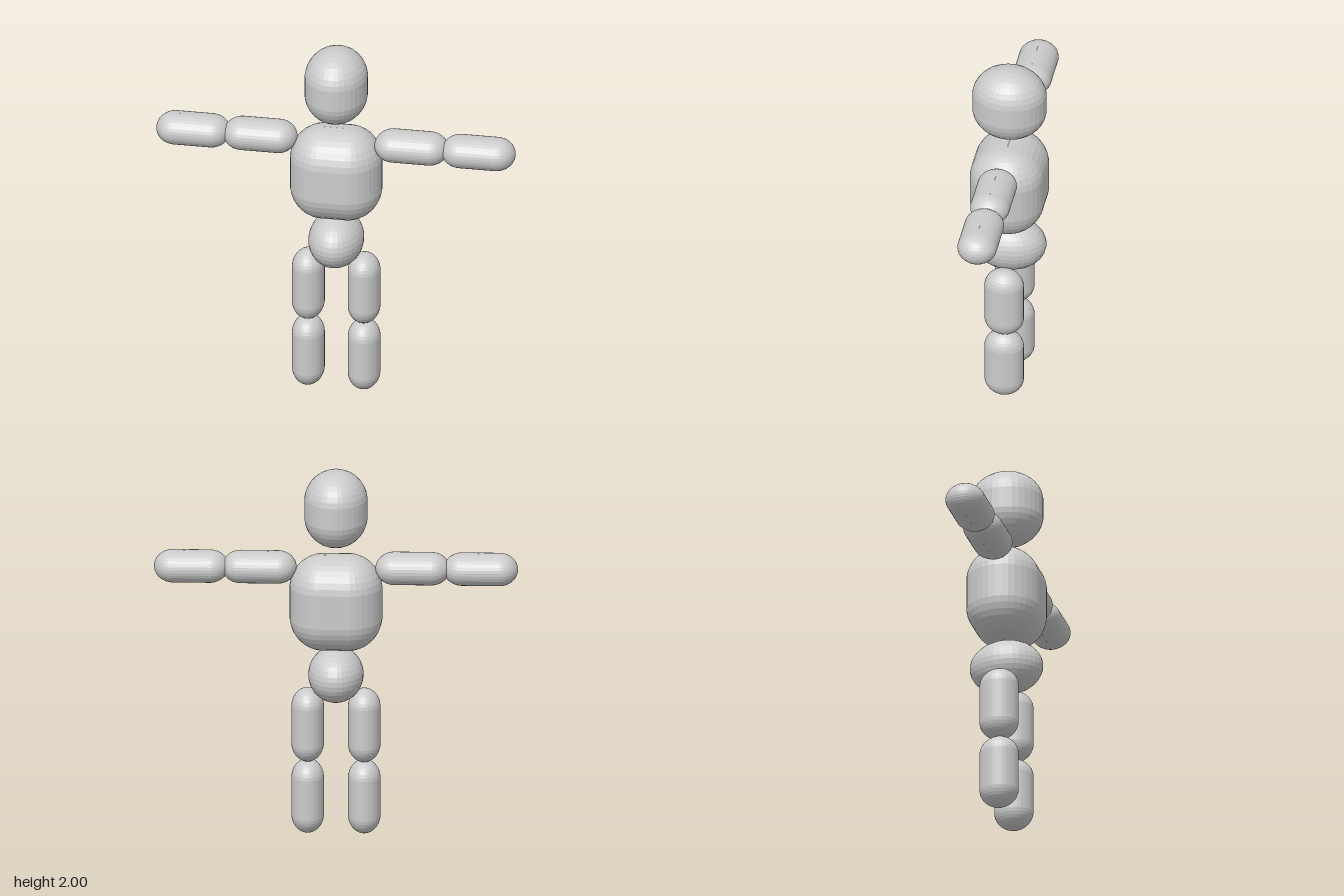
import * as THREE from 'three';

const material = new THREE.MeshStandardMaterial({ color: 0xcccccc, flatShading: true });

// Ellipsoid with radii r, its halves pulled apart by split[i] along each axis.
// The segment counts keep vertices off the planes x = 0 and y = 0.
function stretchedBall(r, split) {
  const geometry = new THREE.SphereGeometry(1, 34, 17, 0, Math.PI * 2, 0.001, Math.PI - 0.002);
  const p = geometry.attributes.position;
  const move = (v, i) => v * r[i] + Math.sign(v) * split[i];
  for (let i = 0; i < p.count; i++) {
    p.setXYZ(i, move(p.getX(i), 0), move(p.getY(i), 1), p.getZ(i) * r[2]);
  }
  geometry.computeVertexNormals();
  return geometry;
}

export function createModel() {
  const group = new THREE.Group();

  const add = (name, r, split, position) => {
    const mesh = new THREE.Mesh(stretchedBall(r, split), material);
    mesh.name = name;
    mesh.position.set(...position);
    group.add(mesh);
  };

  // Head, torso and pelvis
  add('head', [0.167, 0.165, 0.197], [0, 0.043, 0], [0, 1.792, 0]);
  add('torso', [0.18, 0.185, 0.197], [0.065, 0.075, 0], [0, 1.275, 0]);
  add('pelvis', [0.146, 0.146, 0.197], [0, 0, 0], [0, 0.875, 0]);

  // Limbs, two capsules each
  for (const [side, s] of [['left', 1], ['right', -1]]) {
    const arm = [0.1, 0.086, 0.105];
    add(side + 'UpperArm', arm, [0.097, 0, 0], [s * 0.404, 1.462, 0.008]);
    add(side + 'Forearm', arm, [0.097, 0, 0], [s * 0.762, 1.462, 0.008]);

    const leg = [0.086, 0.1, 0.105];
    add(side + 'Thigh', leg, [0, 0.101, 0], [s * 0.149, 0.596, 0]);
    add(side + 'LowerLeg', leg, [0, 0.101, 0], [s * 0.149, 0.202, 0]);
  }

  return group;
}
